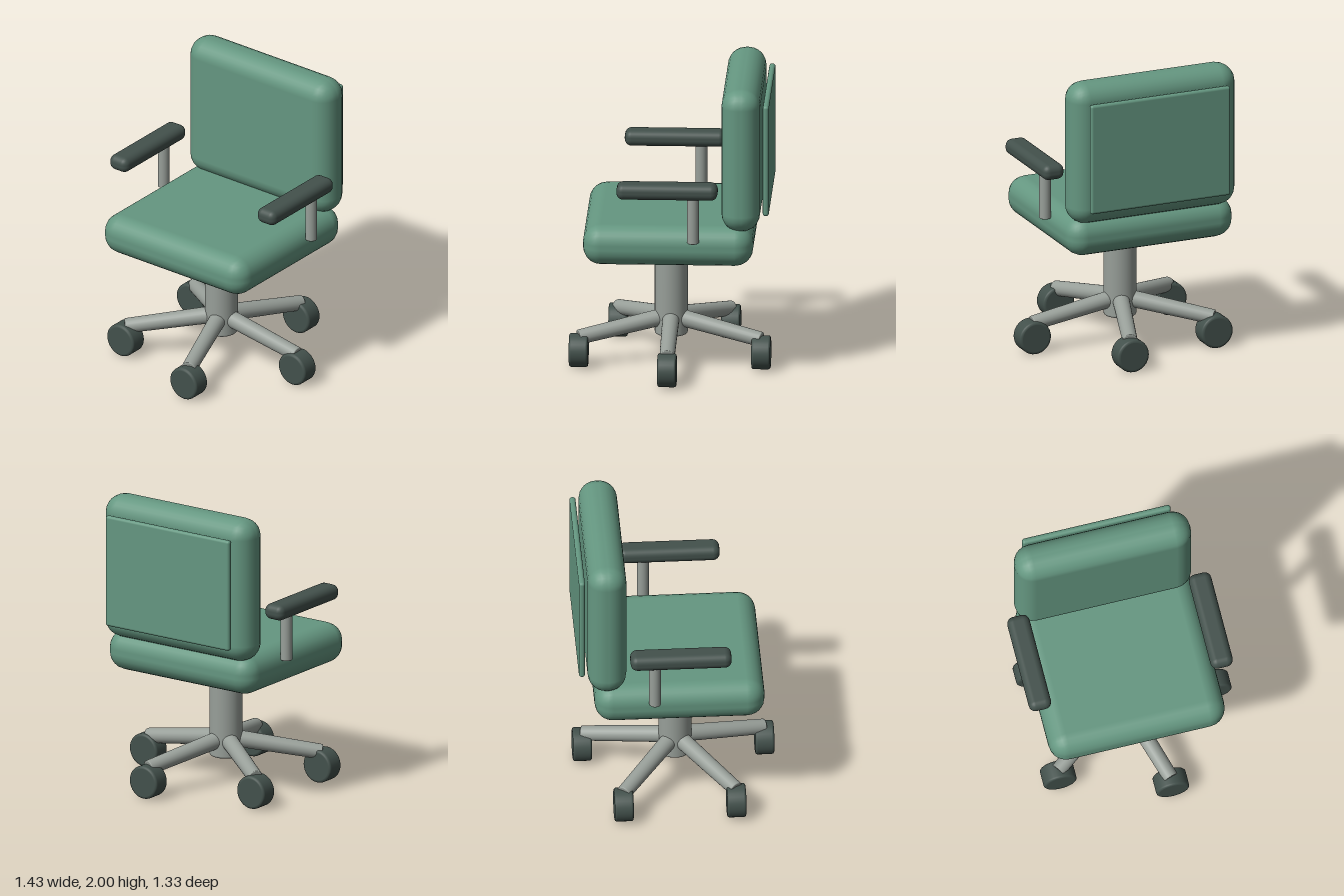
import * as THREE from 'three';
import { RoundedBoxGeometry } from 'three/addons/geometries/RoundedBoxGeometry.js';

const CX = -0.03; // chair axis; the +x caster makes the overall outline lopsided

export function createModel() {
  const chair = new THREE.Group();
  chair.name = 'officeChair';

  const mat = (name, color) => {
    const m = new THREE.MeshStandardMaterial({ color });
    m.name = name;
    return m;
  };
  const upholstery = mat('green upholstery', 0x659781);
  const rubber = mat('dark plastic', 0x43514c);
  const metal = mat('grey metal', 0x989f99);

  const add = (name, geometry, material, x, y, z) => {
    const mesh = new THREE.Mesh(geometry, material);
    mesh.name = name;
    mesh.position.set(CX + x, y, z);
    chair.add(mesh);
    return mesh;
  };

  // Rounded cushion or pad
  const pad = (name, material, w, h, d, radius, x, y, z) =>
    add(name, new RoundedBoxGeometry(w, h, d, 3, radius), material, x, y, z);

  // Upright cylinder with softly bevelled rims, centred on its height
  const softCylinder = (rBottom, rTop, h, b, segments = 32) => {
    const pts = [[0, -h / 2], [rBottom - b - 0.002, -h / 2]];
    for (let i = 0; i <= 3; i++) {
      const a = (i / 3) * Math.PI / 2;
      pts.push([rBottom - b + b * Math.sin(a), -h / 2 + b - b * Math.cos(a)]);
    }
    for (let i = 0; i <= 3; i++) {
      const a = (i / 3) * Math.PI / 2;
      pts.push([rTop - b + b * Math.cos(a), h / 2 - b + b * Math.sin(a)]);
    }
    pts.push([rTop - b - 0.002, h / 2], [0, h / 2]);
    return new THREE.LatheGeometry(pts.map(([x, y]) => new THREE.Vector2(x, y)), segments);
  };

  // Seat, backrest and rear panel
  pad('seat', upholstery, 1.19, 0.27, 1.12, 0.12, 0, 0.928, 0);
  pad('backrest', upholstery, 1.19, 0.97, 0.255, 0.12, 0, 1.515, -0.478);
  pad('backPanel', upholstery, 1.005, 0.755, 0.04, 0.018, 0, 1.512, -0.643);

  // Armrests on posts
  for (const [side, s] of [['left', 1], ['right', -1]]) {
    pad(side + 'Armrest', rubber, 0.15, 0.105, 0.665, 0.045, s * 0.615, 1.338, 0);
    add(side + 'ArmPost', softCylinder(0.039, 0.039, 0.34, 0.006, 24), metal, s * 0.615, 1.15, -0.17);
  }

  // Gas column
  add('column', softCylinder(0.109, 0.109, 0.67, 0.015), metal, 0, 0.515, 0);

  // Five-star base: sloping legs, wheels all facing forwards
  const legGeometry = softCylinder(0.057, 0.05, 0.64, 0.006, 24);
  const wheelGeometry = softCylinder(0.112, 0.112, 0.125, 0.016).rotateX(Math.PI / 2);
  const up = new THREE.Vector3(0, 1, 0);
  for (let i = 0; i < 5; i++) {
    const a = (i / 5) * Math.PI * 2;
    const c = Math.cos(a), s = Math.sin(a);
    const start = new THREE.Vector3(0, 0.305, 0);
    const end = new THREE.Vector3(c * 0.631, 0.2, s * 0.631);
    const mid = start.clone().add(end).multiplyScalar(0.5);
    const leg = add('baseLeg' + (i + 1), legGeometry, metal, mid.x, mid.y, mid.z);
    leg.quaternion.setFromUnitVectors(up, end.sub(start).normalize());
    add('casterWheel' + (i + 1), wheelGeometry, rubber, c * 0.631, 0.112, s * 0.631);
  }

  return chair;
}
